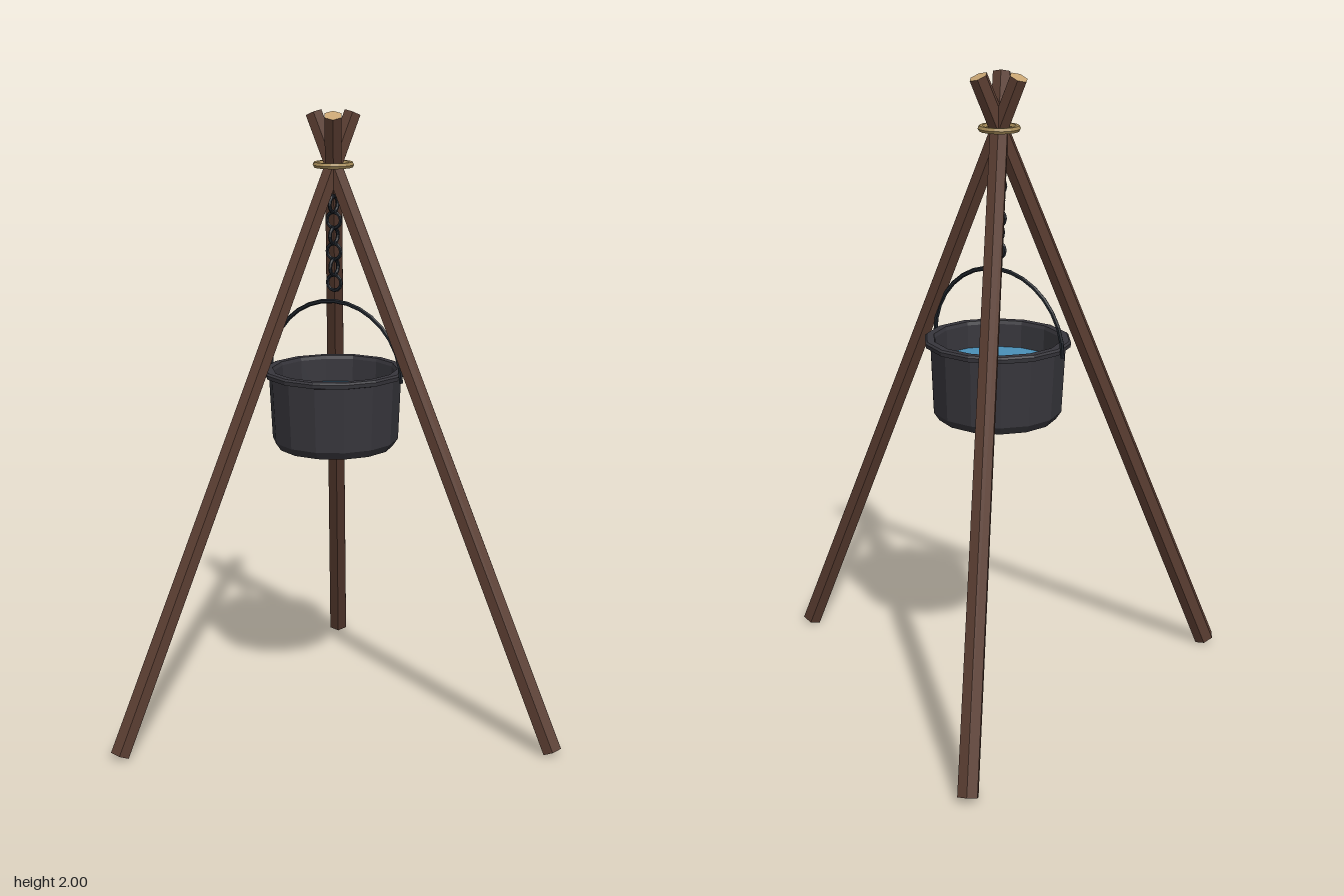
import * as THREE from 'three';

const mat = (name, color, extra = {}) => {
  const m = new THREE.MeshStandardMaterial({ color, flatShading: true, ...extra });
  m.name = name;
  return m;
};

export function createModel() {
  const bark = mat('dark bark', 0x5a3d31);
  const cutWood = mat('cut wood', 0xc8a573);
  const rope = mat('rope', 0xa48a58);
  const castIron = mat('cast iron', 0x37363c);
  const iron = mat('dark iron', 0x1f242b);
  const water = mat('water', 0x4a90b8);

  const model = new THREE.Group();
  model.name = 'tripodCauldron';
  model.position.x = -0.2; // tripod axis
  const add = (name, geometry, material, y = 0, parent = model) => {
    const mesh = new THREE.Mesh(geometry, material);
    mesh.name = name;
    mesh.position.y = y;
    parent.add(mesh);
    return mesh;
  };

  // Three leaning poles that cross at the lashing, with pale cut ends
  const foot = new THREE.Vector2(0.79, 0.014);
  const tip = new THREE.Vector2(-0.07, 1.988);
  const poleGeo = new THREE.CylinderGeometry(0.03, 0.034, foot.distanceTo(tip), 6);
  poleGeo.rotateY(Math.PI / 2);
  for (let i = 0; i < 3; i++) {
    const leg = new THREE.Group();
    leg.name = 'leg' + (i + 1);
    leg.rotation.y = (i * Math.PI * 2) / 3;
    const pole = add('pole', poleGeo, [bark, cutWood, cutWood], (foot.y + tip.y) / 2, leg);
    pole.position.x = (foot.x + tip.x) / 2;
    pole.rotation.z = Math.atan2(foot.x - tip.x, tip.y - foot.y);
    model.add(leg);
  }

  // Rope lashing
  add('lashing', new THREE.TorusGeometry(0.056, 0.01, 6, 16).rotateX(Math.PI / 2), rope, 1.83);

  // Chain of alternately turned links
  const linkGeo = new THREE.TorusGeometry(0.025, 0.006, 6, 12);
  for (let i = 0; i < 8; i++) {
    add('chainLink' + (i + 1), linkGeo, iron, 1.455 + i * 0.05).rotation.y = (i % 2) * Math.PI / 2;
  }

  // Bail handle
  add('handle', new THREE.TorusGeometry(0.243, 0.007, 6, 16, Math.PI), iron, 1.152);

  // Pot: closed base, flared wall, lip and inner wall
  const profile = [
    [0, 0.92], [0.187, 0.92], [0.204, 0.945], [0.214, 1.153], [0.229, 1.157],
    [0.231, 1.17], [0.225, 1.176], [0.202, 1.176], [0.198, 1.165], [0.193, 0.96], [0, 0.95],
  ].map(([r, y]) => new THREE.Vector2(r, y));
  add('pot', new THREE.LatheGeometry(profile, 14, Math.PI / 2), castIron);

  // Water surface
  add('water', new THREE.CircleGeometry(0.196, 28).rotateX(-Math.PI / 2), water, 1.09);

  const root = new THREE.Group();
  root.name = 'campCookingTripod';
  root.add(model);
  return root;
}
